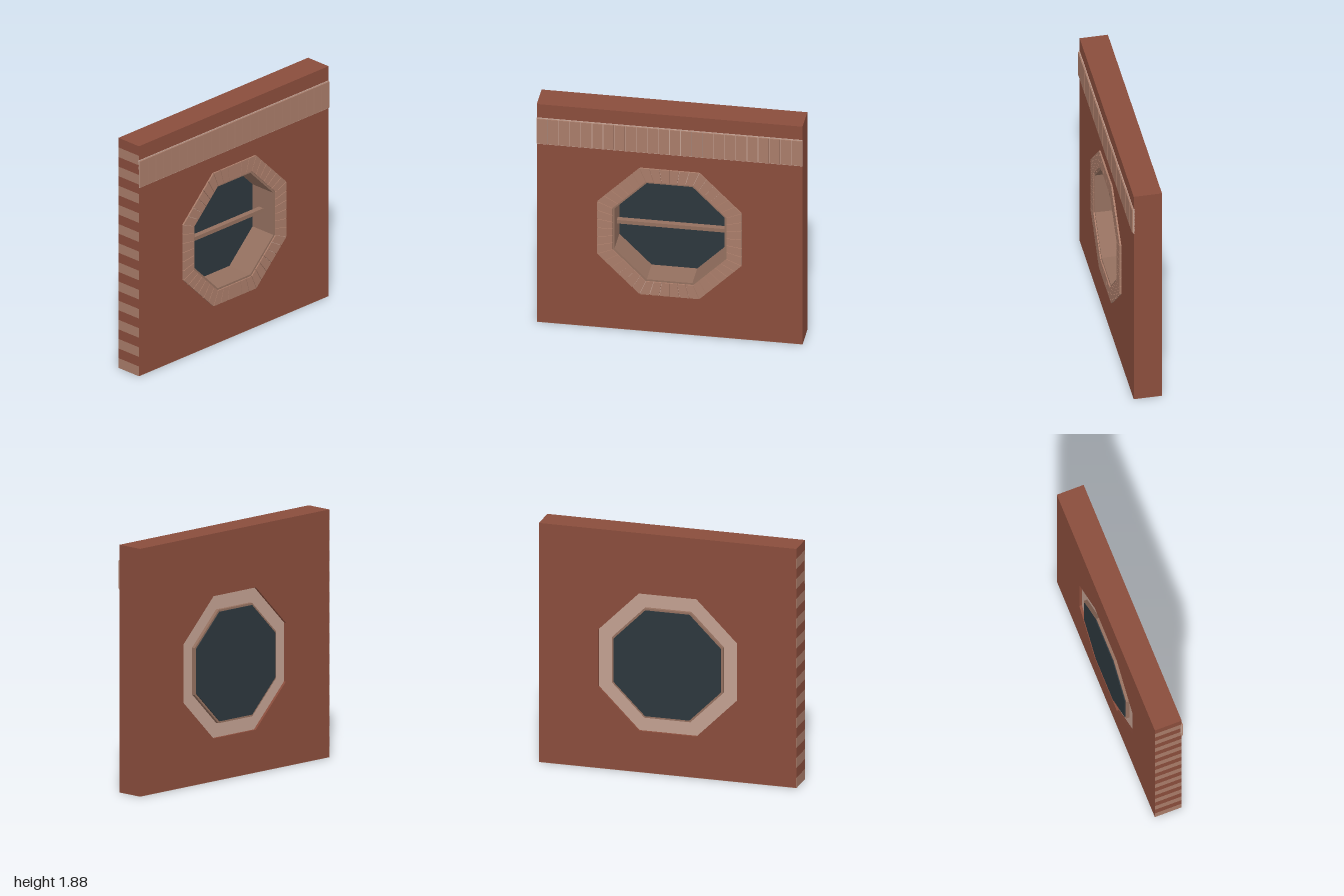
import * as THREE from 'three';

const mat = (name, color) => new THREE.MeshStandardMaterial({ name, color });

export function createModel() {
  const red = mat('red brick wall', 0x8a4d3c);
  const brick = mat('light brick', 0xa97c69);
  const mortar = mat('pale mortar', 0xc2a091);
  const frameMat = mat('brown frame', 0x94705f);
  const glassMat = mat('dark glass', 0x2d373d);

  const model = new THREE.Group();
  model.name = 'wallPanel';
  const cy = 0.865; // window centre height

  const add = (name, geometry, material, parent = model) => {
    const m = new THREE.Mesh(geometry, material);
    m.name = name;
    parent.add(m);
    return m;
  };
  const box = (name, x0, x1, y0, y1, z0, z1, material, parent) => {
    const m = add(name, new THREE.BoxGeometry(x1 - x0, y1 - y0, z1 - z0), material, parent);
    m.position.set((x0 + x1) / 2, (y0 + y1) / 2, (z0 + z1) / 2);
    return m;
  };
  // Octagon with flat top, given the distance from centre to side
  const octagon = (apothem) => {
    const r = apothem / Math.cos(Math.PI / 8);
    return Array.from({ length: 8 }, (_, i) => {
      const a = Math.PI / 8 + (i * Math.PI) / 4;
      return new THREE.Vector2(Math.cos(a) * r, cy + Math.sin(a) * r);
    });
  };
  const extrude = (outline, hole, z0, z1) => {
    const s = new THREE.Shape(outline);
    if (hole) s.holes.push(new THREE.Path(hole));
    return new THREE.ExtrudeGeometry(s, { depth: z1 - z0, bevelEnabled: false }).translate(0, 0, z0);
  };

  // Wall slab with the octagonal opening
  const T = 0.107, H = 1.88, skin = 0.002;
  const rect = [[-1 + skin, skin], [1, skin], [1, H], [-1 + skin, H]].map((p) => new THREE.Vector2(...p));
  add('wall', extrude(rect, octagon(0.54), -T, T), red);
  box('wallBottom', -1, 1, 0, skin, -T, T, brick);

  // Alternating courses on the right-hand end
  const courses = 24, step = (H - skin) / courses;
  for (let i = 0; i < courses; i++) {
    const y = skin + i * step;
    box('endCourse', -1, -1 + skin, y, y + step, -T, T, i % 2 ? red : brick);
  }

  // Upright brick band along the top
  const band = new THREE.Group();
  band.name = 'brickBand';
  model.add(band);
  box('bandMortar', -1, 1, 1.54, 1.765, T - 0.01, 0.112, mortar, band);
  const n = 24, w = 2 / n;
  for (let i = 0; i < n; i++) {
    const x = -1 + i * w;
    box('bandBrick', x + 0.003, x + w - 0.003, 1.547, 1.758, T, 0.12, brick, band);
  }

  // Octagonal surround: mortar core, recessed at the back
  add('surroundCore', extrude(octagon(0.54), octagon(0.425), -0.087, 0.109), mortar);

  // Tapered surround bricks, six on each side
  const outer = octagon(0.543), inner = octagon(0.43);
  const surround = new THREE.Group();
  surround.name = 'surroundBricks';
  model.add(surround);
  for (let s = 0; s < 8; s++) {
    const at = (ring, t) => ring[s].clone().lerp(ring[(s + 1) % 8], t);
    for (let k = 0; k < 6; k++) {
      const a = (k + 0.03) / 6, b = (k + 0.97) / 6;
      const quad = [at(inner, a), at(outer, a), at(outer, b), at(inner, b)];
      add('surroundBrick', extrude(quad, null, T - 0.002, 0.12), brick, surround);
    }
  }

  // Window frame lining the opening, glass pane and crossbar
  add('windowFrame', extrude(octagon(0.43), octagon(0.415), -0.113, 0.11), frameMat);
  add('glass', extrude(octagon(0.415), null, -0.12, -0.108), glassMat);
  box('crossbar', -0.418, 0.418, 0.847, 0.877, -0.04, 0.005, frameMat);

  return model;
}
